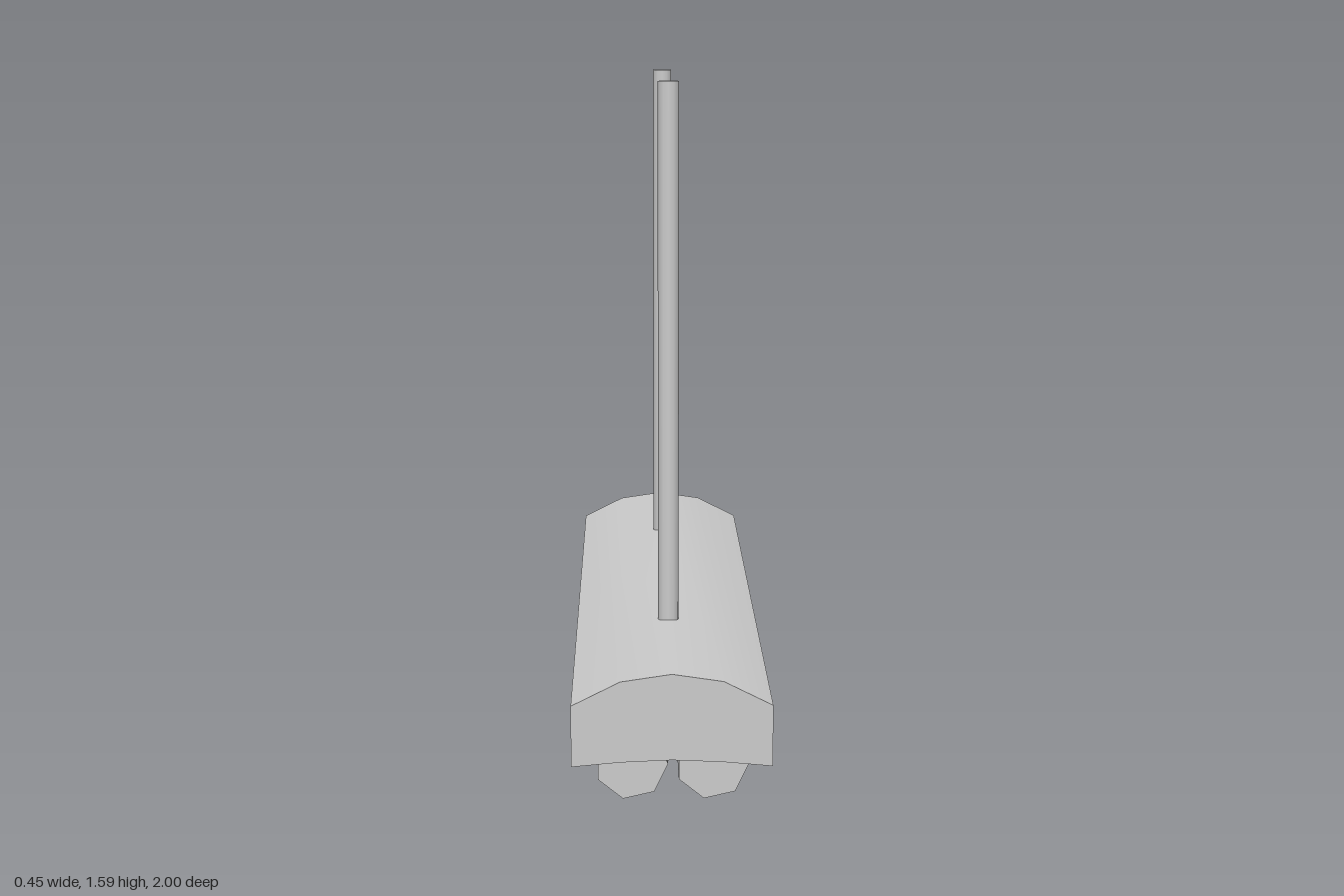
import * as THREE from 'three';
import { toCreasedNormals } from 'three/addons/utils/BufferGeometryUtils.js';

const material = new THREE.MeshStandardMaterial({ color: 0xcccccc });

function addMesh(group, name, geometry, x = 0, y = 0, z = 0) {
  const mesh = new THREE.Mesh(geometry, material);
  mesh.name = name;
  mesh.position.set(x, y, z);
  group.add(mesh);
  return mesh;
}

// Housing: arched top, upright sides and a shallow arched underside
function housingGeometry() {
  const profile = [
    [-0.225, 0.09], [-0.115, 0.1], [0, 0.105], [0.115, 0.1], [0.225, 0.09],
    [0.225, 0.23], [0.115, 0.285], [0, 0.302], [-0.115, 0.285], [-0.225, 0.23],
  ];
  const shape = new THREE.Shape(profile.map(([x, y]) => new THREE.Vector2(x, y)));
  const geometry = new THREE.ExtrudeGeometry(shape, { depth: 2, bevelEnabled: false });
  geometry.translate(0, 0, -1);
  // The lower left edge rises slightly toward the back
  const p = geometry.attributes.position;
  for (let i = 0; i < p.count; i++) {
    if (p.getX(i) > 0.2 && p.getY(i) < 0.15 && p.getZ(i) < 0) p.setY(i, 0.104);
  }
  return toCreasedNormals(geometry, 0.7);
}

export function createModel() {
  const model = new THREE.Group();
  model.name = 'hangingTubeLamp';

  addMesh(model, 'housing', housingGeometry());

  // Two seven-sided tubes, partly sunk into the underside
  const tube = new THREE.CylinderGeometry(0.083, 0.083, 1.91, 7);
  tube.rotateY(Math.PI / 2).rotateX(Math.PI / 2);
  for (const [name, x] of [['leftTube', 0.091], ['rightTube', -0.091]]) {
    addMesh(model, name, tube, x, 0.082, 0);
  }

  // Two hanging rods
  const rod = new THREE.CylinderGeometry(0.025, 0.025, 1.3, 12);
  for (const [name, z] of [['frontRod', 0.5], ['backRod', -0.5]]) {
    addMesh(model, name, rod, 0, 0.94, z);
  }

  return model;
}
